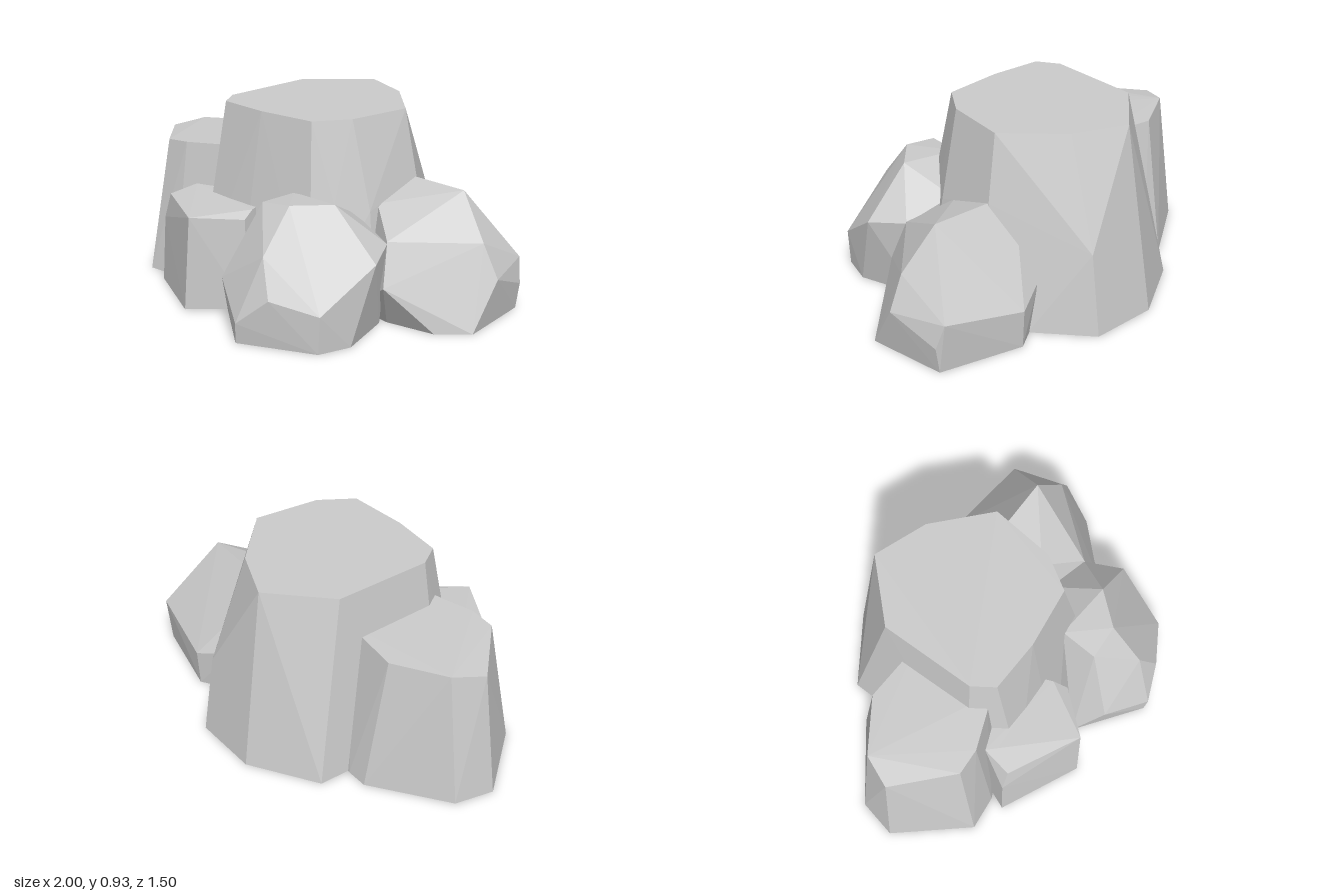
import * as THREE from 'three';
import { ConvexGeometry } from 'three/addons/geometries/ConvexGeometry.js';

const material = new THREE.MeshStandardMaterial({ color: 0xcccccc, flatShading: true, side: THREE.DoubleSide });

// Rings of [x, z] pairs placed at one height
const ring = (y, outline) => outline.map(([x, z]) => [x, y, z]);
const ground = outline => ring(0, outline);

// Corner points of each boulder
const boulders = {
  // Tall central stump with a flat top
  centralRock: [
    ...ring(0.927, [[-0.1, -0.61], [0.16, -0.5], [0.4, -0.26], [0.35, 0.06], [0.24, 0.22],
      [-0.06, 0.245], [-0.32, 0.225], [-0.385, 0.12], [-0.365, -0.36]]),
    [0.2, 0.4, -0.69], [0.46, 0.6, -0.28], [0.455, 0.5, 0.05],
    ...ground([[-0.13, -0.75], [0.21, -0.75], [0.42, -0.5], [0.54, -0.28], [0.52, 0.08],
      [0.36, 0.36], [-0.08, 0.39], [-0.36, 0.39], [-0.5, 0.16], [-0.46, -0.55]]),
  ],
  // Medium block on the right
  rightRock: [
    [-0.61, 0.68, -0.28], [-0.3, 0.69, -0.25], [-0.3, 0.7, 0.18], [-0.38, 0.695, 0.21], [-0.56, 0.685, 0.27],
    [-0.69, 0.675, 0.27], [-0.93, 0.655, 0.02], [-0.86, 0.68, -0.13],
    ...ground([[-1, 0.04], [-0.74, 0.37], [-0.57, 0.36], [-0.3, 0.25], [-0.3, -0.36],
      [-0.48, -0.4], [-0.59, -0.4], [-0.95, -0.15]]),
  ],
  // Low block at the front
  frontRock: [
    [-0.49, 0.485, 0.27], [-0.4, 0.485, 0.15], [-0.1, 0.48, 0.12], [-0.02, 0.475, 0.35], [0, 0.445, 0.42],
    [-0.18, 0.46, 0.61], [-0.52, 0.46, 0.42], [-0.565, 0.33, 0.42],
    ...ground([[-0.58, 0.43], [-0.2, 0.63], [0.02, 0.42], [-0.02, 0.15], [-0.45, 0.15]]),
  ],
  // Rounded boulder at the front left
  frontLeftRock: [
    [0.16, 0.58, 0.46], [0.33, 0.6, 0.46], [0.47, 0.6, 0.31], [0.18, 0.585, 0.27],
    [0.33, 0.4, 0.63], [0.71, 0.37, 0.3], [0.42, 0.23, 0.69], [0.63, 0.18, 0.58],
    [0.27, 0.1, 0.75], [0.05, 0.23, 0.62], [0.62, 0.4, 0.12], [0.38, 0.48, 0.07],
    ...ground([[-0.04, 0.5], [0.26, 0.74], [0.62, 0.58], [0.67, 0.42], [0.58, 0.12], [0.1, 0.2]]),
  ],
  // Ridged boulder on the left
  leftRock: [
    [0.76, 0.6, -0.26], [0.3, 0.6, -0.28], [0.92, 0.39, -0.21], [1, 0.23, -0.22],
    [0.66, 0.21, 0.19], [0.62, 0.41, 0.12], [0.44, 0.52, -0.02], [0.92, 0.25, -0.5],
    [0.95, 0.13, -0.47], [0.52, 0.19, -0.58], [0.34, 0.25, -0.49],
    ...ground([[0.98, -0.07], [0.85, 0.05], [0.6, 0.09], [0.35, 0.05], [0.35, -0.46],
      [0.52, -0.57], [0.93, -0.47]]),
  ],
};

// Triangles of the convex hull and the planes they lie in
function hullOf(corners) {
  const p = new ConvexGeometry(corners.map(c => new THREE.Vector3(...c))).attributes.position;
  const faces = [];
  for (let i = 0; i < p.count; i += 3) {
    faces.push([0, 1, 2].map(k => new THREE.Vector3().fromBufferAttribute(p, i + k)));
  }
  return { faces, planes: faces.map(f => new THREE.Plane().setFromCoplanarPoints(...f)) };
}

// The part of a polygon on one side of a plane (+1 outside, -1 inside)
function clip(polygon, plane, side) {
  const d = polygon.map(v => side * plane.distanceToPoint(v));
  if (Math.max(...d) < 1e-5) return null;
  const result = [];
  polygon.forEach((v, i) => {
    const j = (i + 1) % polygon.length;
    if (d[i] >= 0) result.push(v);
    if (d[i] * d[j] < 0) result.push(v.clone().lerp(polygon[j], d[i] / (d[i] - d[j])));
  });
  return result;
}

// Cut away whatever part of a polygon is buried inside another hull
function removeBuried(polygon, planes) {
  const pieces = [];
  let rest = polygon;
  for (const plane of planes) {
    const outside = clip(rest, plane, 1);
    const inside = clip(rest, plane, -1);
    if (!inside) return [polygon];
    if (outside) pieces.push(outside);
    rest = inside;
  }
  return pieces;
}

export function createModel() {
  const group = new THREE.Group();
  group.name = 'rockCluster';
  const names = Object.keys(boulders);
  const hulls = names.map(name => hullOf(boulders[name]));

  hulls.forEach((hull, i) => {
    // Open where the boulder meets the ground
    let polygons = hull.faces.filter(f => f.some(v => v.y > 0.01));
    hulls.forEach((other, j) => {
      if (j !== i) polygons = polygons.flatMap(f => removeBuried(f, other.planes));
    });
    const points = [];
    for (const f of polygons) {
      for (let k = 2; k < f.length; k++) points.push(f[0], f[k - 1], f[k]);
    }
    const geometry = new THREE.BufferGeometry().setFromPoints(points);
    geometry.computeVertexNormals();
    const mesh = new THREE.Mesh(geometry, material);
    mesh.name = names[i];
    group.add(mesh);
  });

  return group;
}
